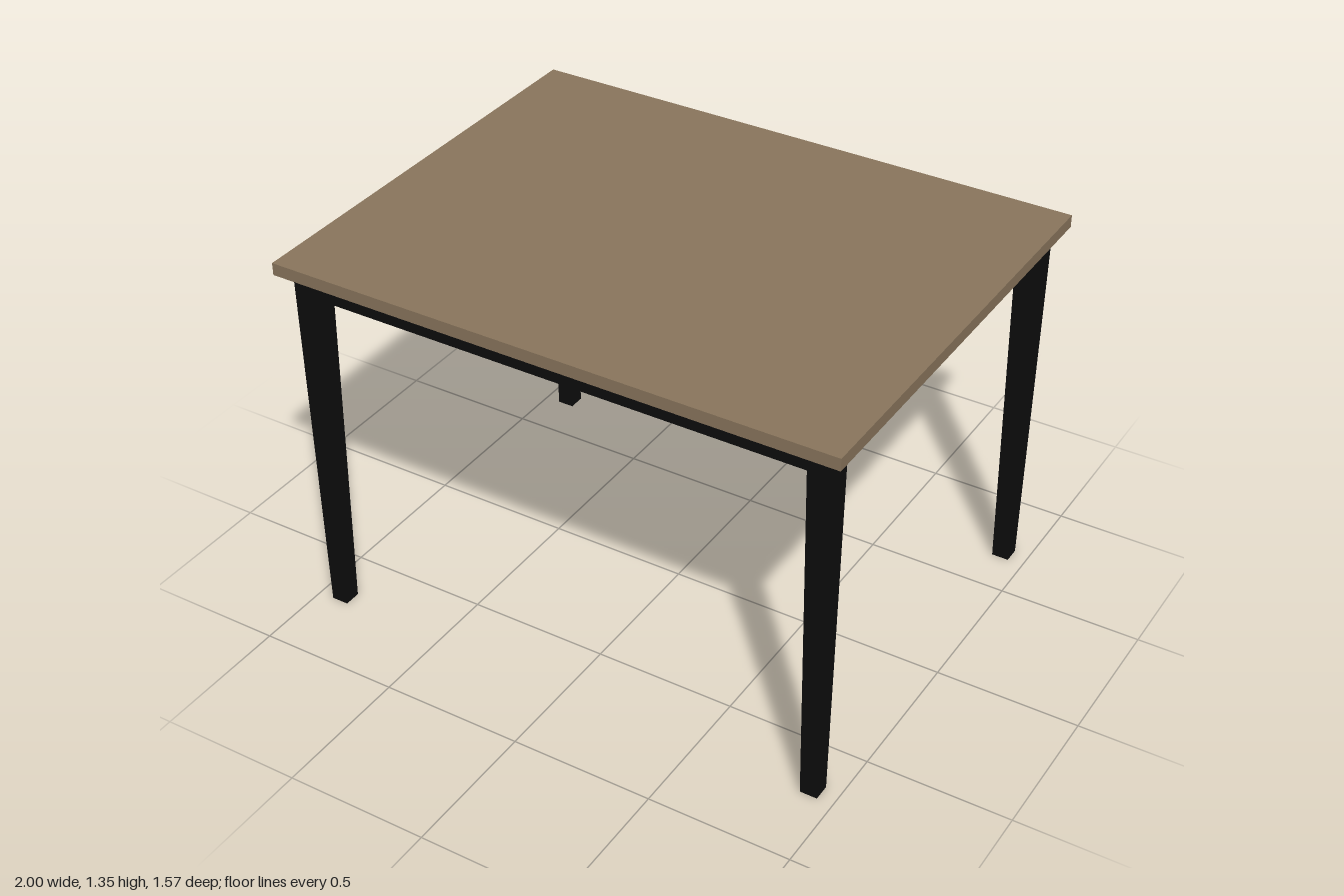
import * as THREE from 'three';

const TOP_Y = 1.305, LEG_X = 0.914, LEG_Z = 0.698;
const LEG_TOP = 0.085, LEG_FOOT = 0.06;
const APRON_H = 0.085, APRON_T = 0.05;

export function createModel() {
  const table = new THREE.Group();
  table.name = 'table';
  const wood = new THREE.MeshStandardMaterial({ color: 0x8a765d });
  const black = new THREE.MeshStandardMaterial({ color: 0x0d0d0d });

  const add = (name, geometry, material, x, y, z) => {
    const mesh = new THREE.Mesh(geometry, material);
    mesh.name = name;
    mesh.position.set(x, y, z);
    table.add(mesh);
  };

  // Flat rectangular top
  add('tableTop', new THREE.BoxGeometry(2, 0.043, 1.566), wood, 0, TOP_Y + 0.0215, 0);

  // Square leg, narrowing evenly towards the foot
  const legGeometry = new THREE.BoxGeometry(LEG_TOP, TOP_Y, LEG_TOP);
  const p = legGeometry.attributes.position;
  for (let i = 0; i < p.count; i++) {
    if (p.getY(i) < 0) {
      p.setX(i, Math.sign(p.getX(i)) * LEG_FOOT / 2);
      p.setZ(i, Math.sign(p.getZ(i)) * LEG_FOOT / 2);
    }
  }
  legGeometry.computeVertexNormals();

  // Apron rails run between the legs
  const apronY = TOP_Y - APRON_H / 2;
  const longRail = new THREE.BoxGeometry(2 * LEG_X - LEG_TOP, APRON_H, APRON_T);
  const shortRail = new THREE.BoxGeometry(APRON_T, APRON_H, 2 * LEG_Z - LEG_TOP);

  for (const s of [-1, 1]) {
    const end = s > 0 ? 'front' : 'back';
    add(end + 'Apron', longRail, black, 0, apronY, s * LEG_Z);
    add((s > 0 ? 'left' : 'right') + 'Apron', shortRail, black, s * LEG_X, apronY, 0);
    for (const side of [-1, 1]) {
      add(end + (side > 0 ? 'Left' : 'Right') + 'Leg', legGeometry, black,
        side * LEG_X, TOP_Y / 2, s * LEG_Z);
    }
  }
  return table;
}
